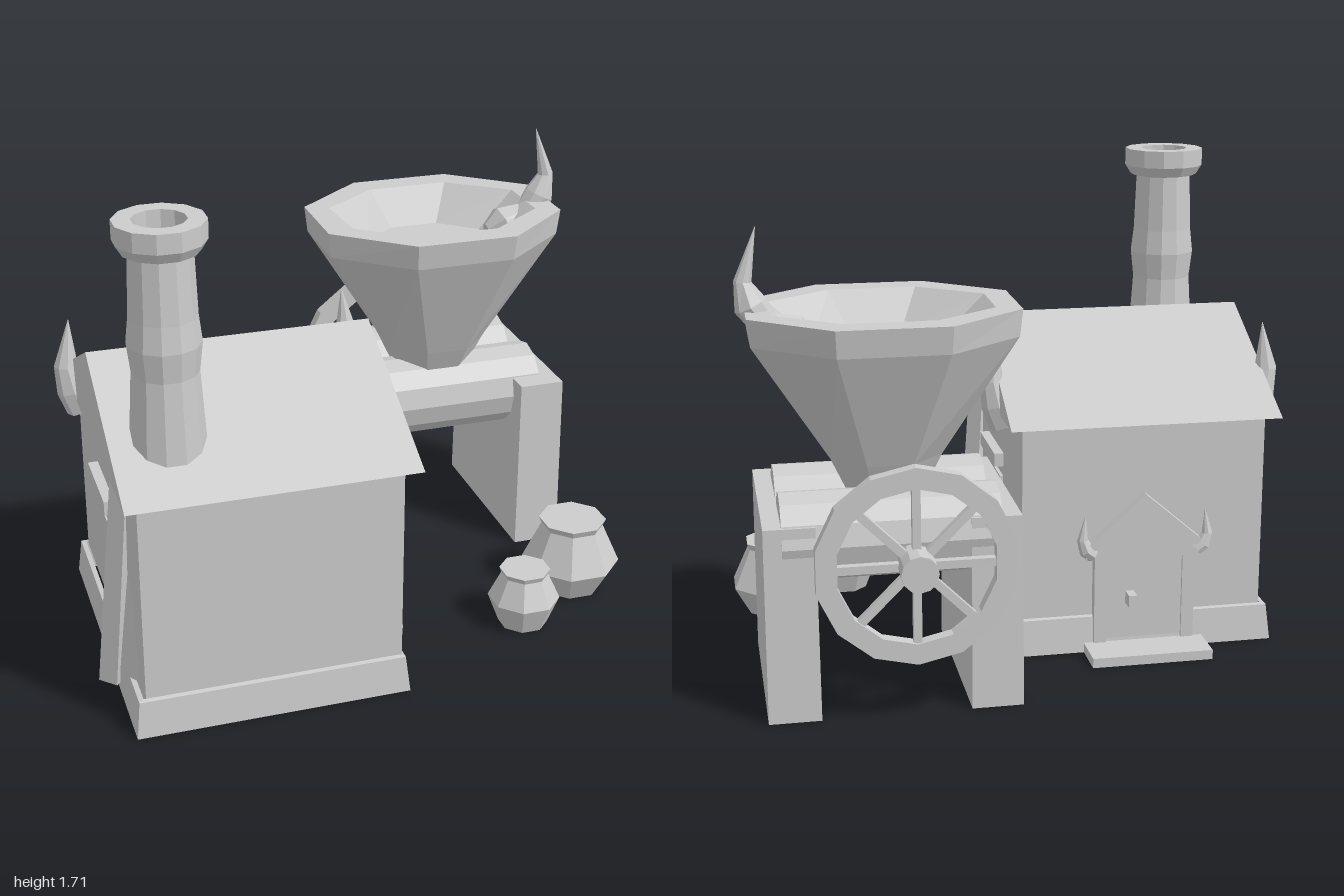
import * as THREE from 'three';

// Double-sided because several parts are open underneath
const stone = new THREE.MeshStandardMaterial({ color: 0xcccccc, flatShading: true, side: THREE.DoubleSide });
stone.name = 'pale grey';

const HX = -0.443; // house centre line

function add(parent, name, geometry, x = 0, y = 0, z = 0) {
  const mesh = new THREE.Mesh(geometry, stone);
  mesh.name = name;
  mesh.position.set(x, y, z);
  parent.add(mesh);
  return mesh;
}

function box(parent, name, x0, x1, y0, y1, z0, z1) {
  return add(parent, name, new THREE.BoxGeometry(x1 - x0, y1 - y0, z1 - z0),
    (x0 + x1) / 2, (y0 + y1) / 2, (z0 + z1) / 2);
}

// Skin between rings of points, with optional end caps
function loft(rings, capStart = true, capEnd = true) {
  const pos = [], n = rings[0].length;
  const tri = (...pts) => pts.forEach(p => pos.push(p.x, p.y, p.z));
  const mid = points => points.reduce((s, p) => s.add(p), new THREE.Vector3()).divideScalar(n);
  const first = rings[0], last = rings[rings.length - 1];
  const c0 = mid(first), c1 = mid(last);
  for (let j = 0; j < n; j++) {
    const k = (j + 1) % n;
    for (let i = 0; i < rings.length - 1; i++) {
      const a = rings[i], b = rings[i + 1];
      tri(a[j], b[j], a[k]);
      tri(a[k], b[j], b[k]);
    }
    if (capStart) tri(c0, first[j], first[k]);
    if (capEnd) tri(c1, last[k], last[j]);
  }
  const g = new THREE.BufferGeometry();
  g.setAttribute('position', new THREE.Float32BufferAttribute(pos, 3));
  g.computeVertexNormals();
  return g;
}

// Horizontal polygon ring; rx and rz are half widths across the flats
function ring(y, rx, rz, sides) {
  const k = 1 / Math.cos(Math.PI / sides);
  return Array.from({ length: sides }, (_, j) => {
    const a = (j + 0.5) / sides * Math.PI * 2;
    return new THREE.Vector3(Math.cos(a) * rx * k, y, Math.sin(a) * rz * k);
  });
}

// Tapering horn along a path of [x, y, radius] in the xy plane
function horn(path, sides = 8) {
  return loft(path.map(([x, y, r], i) => {
    const p = path[Math.max(i - 1, 0)], q = path[Math.min(i + 1, path.length - 1)];
    const t = new THREE.Vector2(q[0] - p[0], q[1] - p[1]).normalize();
    return Array.from({ length: sides }, (_, j) => {
      const a = j / sides * Math.PI * 2, c = Math.cos(a) * r;
      return new THREE.Vector3(x + t.y * c, y - t.x * c, Math.sin(a) * r);
    });
  }));
}

function extrude(points, depth, holes = []) {
  const shape = new THREE.Shape(points.map(p => new THREE.Vector2(...p)));
  holes.forEach(h => shape.holes.push(new THREE.Path(h.map(p => new THREE.Vector2(...p)))));
  return new THREE.ExtrudeGeometry(shape, { depth, bevelEnabled: false });
}

function buildHouse() {
  const house = new THREE.Group();
  house.name = 'house';
  box(house, 'walls', HX - 0.443, HX + 0.443, 0.125, 0.86, -0.28, 0.8);
  // Tapered plinth, open underneath
  add(house, 'plinth', loft([
    ring(0, 0.474, 0.57, 4), ring(0.13, 0.46, 0.556, 4), ring(0.133, 0.443, 0.54, 4),
  ], false, false), HX - 0.008, 0, 0.26);

  // Gable roof, ridge along x
  const roof = add(house, 'roof',
    extrude([[-0.595, 0.85], [0.595, 0.85], [0, 1.15]], 0.982), HX - 0.49, 0, 0.26);
  roof.rotation.y = Math.PI / 2;

  // Hollow chimney standing on the ground inside the house
  const profile = [[0.02, 0.195], [0.12, 0.19], [0.5, 0.15], [0.92, 0.123], [1.2, 0.106], [1.3, 0.117],
    [1.39, 0.107], [1.6, 0.1], [1.605, 0.123], [1.64, 0.144], [1.705, 0.144], [1.705, 0.085], [1.45, 0.08]];
  add(house, 'chimney', loft(profile.map(([y, r]) => ring(y, r, r, 12)), false), -0.733, 0, 0.59);

  for (const s of [-1, 1]) {
    // Leaning diamond-section prop
    const diamond = (x, y, z, r) => [0, 1, 2, 3].map(j => new THREE.Vector3(
      HX + s * x + Math.cos(j * Math.PI / 2) * r, y, z + Math.sin(j * Math.PI / 2) * r));
    add(house, 'leaningProp', loft([diamond(0.498, 0.04, 0.51, 0.052), diamond(0.44, 0.835, 0.575, 0.045)]));

    // Window panel with raised border and lintel
    const wall = HX + s * 0.443;
    const plate = (name, d, ...r) => box(house, name, wall - d, wall + d, ...r);
    plate('windowFrame', 0.012, 0.215, 0.56, 0.087, 0.357);
    plate('windowPanel', 0.018, 0.235, 0.54, 0.107, 0.337);
    plate('lintel', 0.035, 0.6, 0.65, 0.077, 0.382);

    // Horns curling up beside the roof and the door
    const roofHorn = add(house, 'gableHorn', horn([[0.465, 0.805, 0.058], [0.495, 0.88, 0.056],
      [0.513, 0.97, 0.042], [0.495, 1.14, 0.001]]), HX, 0, -0.06);
    const doorHorn = add(house, 'doorHorn', horn([[0.19, 0.37, 0.026], [0.215, 0.39, 0.028],
      [0.23, 0.43, 0.02], [0.22, 0.52, 0.001]]), HX, 0, -0.31);
    if (s < 0) roofHorn.rotation.y = doorHorn.rotation.y = Math.PI;
  }

  // Back door with pointed frame, knob and step
  const arch = (w, eave, peak) => [[-w, 0.03], [w, 0.03], [w, eave], [0, peak], [-w, eave]];
  add(house, 'doorFrame', extrude(arch(0.185, 0.39, 0.56), 0.05, [arch(0.14, 0.35, 0.48)]), HX, 0, -0.315);
  add(house, 'door', extrude(arch(0.145, 0.355, 0.485), 0.04), HX, 0, -0.305);
  add(house, 'doorHood', extrude([[-0.22, 0.36], [0, 0.55], [0.22, 0.36], [0.22, 0.4], [0, 0.59], [-0.22, 0.4]], 0.06),
    HX, 0, -0.328);
  box(house, 'doorKnob', -0.405, -0.375, 0.18, 0.225, -0.36, -0.3);
  add(house, 'doorStep', loft([ring(0, 0.22, 0.09, 4), ring(0.035, 0.22, 0.09, 4)], false), HX, 0, -0.365);
  return house;
}

function buildMill() {
  const mill = new THREE.Group();
  mill.name = 'mill';
  // Slightly tapered supports, open underneath
  for (const x of [0.164, 0.844]) {
    add(mill, 'support', loft([ring(0, 0.088, 0.35, 4), ring(0.67, 0.085, 0.337, 4)], false), x, 0, -0.353);
  }

  // Pair of crushing rollers
  for (const z of [-0.235, -0.55]) {
    const roller = add(mill, 'roller', new THREE.CylinderGeometry(0.15, 0.15, 0.725, 12), 0.506, 0.6, z);
    roller.rotation.set(0, 0, Math.PI / 2);
  }

  // Eight-sided hopper with a shallow basin
  const rows = [[0.7, 0.14, 0.15], [0.81, 0.19, 0.2], [1.22, 0.445, 0.365], [1.315, 0.455, 0.38],
    [1.315, 0.37, 0.28], [1.18, 0.225, 0.2]];
  add(mill, 'hopper', loft(rows.map(([y, rx, rz]) => ring(y, rx, rz, 8))), 0.491, 0, -0.317);
  // Horn rooted in the basin and bending up over the rim
  add(mill, 'hopperHorn', horn([[0.72, 1.19, 0.04], [0.79, 1.21, 0.085], [0.875, 1.26, 0.05],
    [0.925, 1.33, 0.057], [0.947, 1.41, 0.03], [0.9, 1.59, 0.001]]), 0, 0, -0.317);

  // Spoked wheel at the back
  const wheel = new THREE.Group();
  wheel.name = 'wheel';
  wheel.position.set(0.443, 0.548, -0.767);
  const circle = r => Array.from({ length: 14 }, (_, i) =>
    [Math.sin(i * Math.PI / 7) * r, Math.cos(i * Math.PI / 7) * r]);
  add(wheel, 'rim', extrude(circle(0.336), 0.046, [circle(0.265)]), 0, 0, -0.023);
  for (let i = 0; i < 8; i++) {
    const a = i * Math.PI / 4, r = 0.16;
    add(wheel, 'spoke', new THREE.BoxGeometry(0.23, 0.028, 0.028), Math.cos(a) * r, Math.sin(a) * r, 0).rotation.z = a;
  }
  add(wheel, 'hub', new THREE.CylinderGeometry(0.062, 0.062, 0.115, 12), 0, 0, -0.035).rotation.x = Math.PI / 2;
  add(wheel, 'axle', new THREE.CylinderGeometry(0.05, 0.05, 0.2, 12), 0, 0, 0.12).rotation.x = Math.PI / 2;
  mill.add(wheel);
  return mill;
}

export function createModel() {
  const model = new THREE.Group();
  model.name = 'millHouse';
  model.add(buildHouse(), buildMill());

  // Two pots on the ground
  const pot = (name, rows, x, z) =>
    add(model, name, loft(rows.map(([y, r]) => ring(y, r, r, 8))), x, 0, z);
  pot('largePot', [[0, 0.11], [0.11, 0.167], [0.255, 0.105], [0.28, 0.115]], 0.833, 0.338);
  pot('smallPot', [[0, 0.082], [0.105, 0.12], [0.2, 0.078], [0.22, 0.085]], 0.563, 0.53);
  return model;
}
